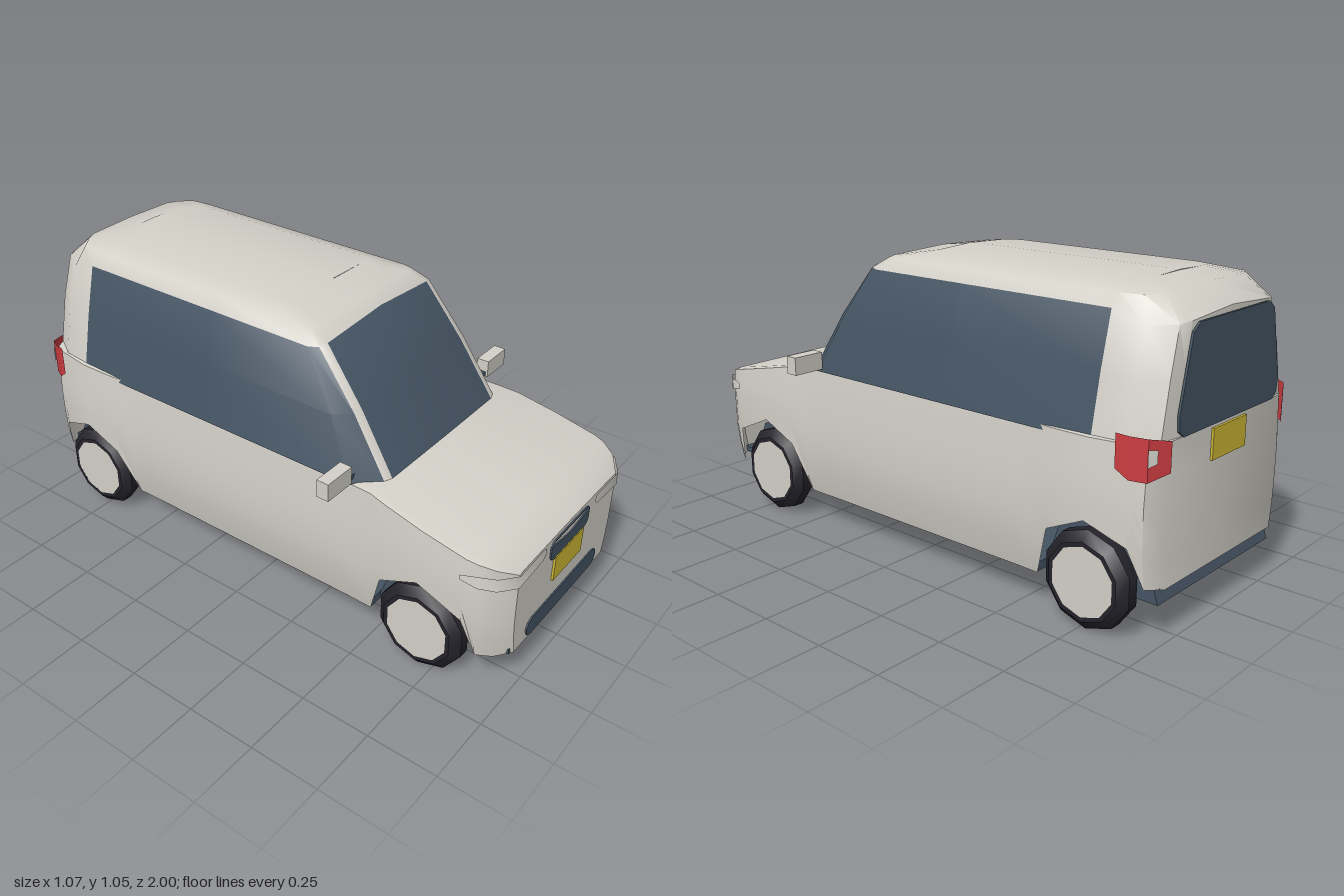
import * as THREE from 'three';
import { toCreasedNormals } from 'three/addons/utils/BufferGeometryUtils.js';

const paint = (name, color, side = THREE.DoubleSide) => {
  const m = new THREE.MeshStandardMaterial({ color, side });
  m.name = name;
  return m;
};

// Surface through rows of points; pick(row, column) chooses the material index
function loft(rows, pick = () => 0, crease = 0.6) {
  const n = rows[0].length, index = [], geo = new THREE.BufferGeometry();
  for (let i = 0; i < rows.length - 1; i++) {
    for (let j = 0; j < n - 1; j++) {
      const a = i * n + j;
      geo.addGroup(index.length, 6, pick(i, j));
      index.push(a, a + 1, a + n, a + 1, a + n + 1, a + n);
    }
  }
  geo.setAttribute('position', new THREE.Float32BufferAttribute(rows.flat(2), 3));
  geo.setIndex(index);
  return toCreasedNormals(geo, crease);
}

// Half outline (front centre to rear centre) completed by its mirror image
const closeRing = half => [...half.map(([x, y, z]) => [-x, y, z]).reverse(), ...half.slice(1)];

// Piecewise linear curve through [key, value] pairs with rising keys
function curve(pts, v) {
  if (v <= pts[0][0]) return pts[0][1];
  for (let i = 1; i < pts.length; i++) {
    const [a, fa] = pts[i - 1], [b, fb] = pts[i];
    if (v <= b) return fa + (fb - fa) * (v - a) / (b - a);
  }
  return pts[pts.length - 1][1];
}

export function createModel() {
  const car = new THREE.Group();
  const body = paint('body paint', 0xd3d0c8);
  const glass = paint('dark glass', 0x455463);
  const tyre = paint('tyre rubber', 0x25232b);
  const red = paint('tail lamp red', 0xcb3c40);
  const yellow = paint('plate yellow', 0xd0b936);
  const lamp = paint('lamp lens', 0xd9d7d0);

  const add = (name, geo, mat, x = 0, y = 0, z = 0, parent = car) => {
    const m = new THREE.Mesh(geo, mat);
    m.name = name;
    m.position.set(x, y, z);
    parent.add(m);
    return m;
  };
  const box = (name, mat, size, pos) => add(name, new THREE.BoxGeometry(...size), mat, ...pos);

  // Lower shell: plan outline as x, z and bottom edge, which rises over the wheels
  const plan = [
    [0, 0.992, 0.15], [0.33, 0.992, 0.15], [0.39, 0.95, 0.15], [0.42, 0.9, 0.15],
    [0.43, 0.86, 0.295], [0.435, 0.7, 0.365], [0.43, 0.56, 0.3], [0.42, 0.5, 0.12],
    [0.418, 0.4, 0.12], [0.418, -0.5, 0.12], [0.42, -0.575, 0.12], [0.43, -0.64, 0.3],
    [0.435, -0.78, 0.365], [0.415, -0.92, 0.31], [0.395, -0.96, 0.18],
    [0.33, -0.992, 0.17], [0, -0.992, 0.17],
  ];
  const belt = z => curve([[-1, 0.62], [0.52, 0.6], [0.9, 0.522], [0.95, 0.505], [0.992, 0.475]], z);
  const tuck = y => curve([[0.12, 0.92], [0.2, 0.97], [0.3, 1], [0.45, 1], [0.62, 0.965]], y);
  const shell = [0, 0.2, 0.4, 0.6, 0.8, 1].map(t => closeRing(plan.map(([x, z, low]) => {
    const y = low + (belt(z) - low) * t;
    return [x * tuck(y), y, z];
  })));
  // Shoulder and bonnet close the top
  for (const [s, up] of [[0.93, 0.005], [0, 0.009]]) {
    shell.push(closeRing(plan.map(([x, z]) => [x * s, belt(z) + up, z])));
  }
  add('lowerBody', loft(shell), body);

  // Cabin: rings from belt to roof; windscreen and side glass are face groups
  const levels = [
    { y: 0.6, w: 0.412, f: 0.52, r: -0.992, g: 0.305, k: 0.1, crown: 0, drop: 0 },
    { y: 0.8, w: 0.37, f: 0.388, r: -0.99, g: 0.292, k: 0.07, crown: 0, drop: 0 },
    { y: 0.978, w: 0.325, f: 0.242, r: -0.984, g: 0.28, k: 0.05, crown: 0.03, drop: 0.04 },
    { y: 1.018, w: 0.29, f: 0.185, r: -0.91, g: 0.25, k: 0.05, crown: 0.012, drop: 0 },
    { y: 1.04, w: 0.22, f: 0.05, r: -0.8, g: 0.17, k: 0.05, crown: 0.008, drop: 0 },
  ];
  const rings = levels.map(({ y, w, f, r, g, k, crown, drop }) => [
    [0, f], [g, f - 0.005], [g + 0.03, f - 0.015], [w, f - k], [w, -0.2],
    [w, Math.max(-0.78, r + 0.08)], [w - 0.01, Math.max(-0.89, r + 0.05)],
    [w - 0.06, r + 0.015], [Math.min(0.25, w - 0.1), r], [0, r],
  ].map(([x, z]) => [x, y + crown * (1 - (x / w) ** 2) - (z < -0.85 ? drop : 0), z]));
  rings.push(rings[4].map(([, , z]) => [0, 1.05, z]));
  const half = rings[0].length - 1;
  const isGlass = (row, col) => {
    const c = col < half ? half - 1 - col : col - half;
    return row < 2 && (c === 0 || (c >= 2 && c <= 4)) ? 1 : 0;
  };
  add('cabin', loft(rings.map(closeRing), isGlass, 0.75), [body, glass]);

  // Thin plates on the front and rear faces
  const plate = (name, mat, pts, z, mirror = true) => {
    const all = mirror ? [...pts, ...pts.map(([x, y]) => [-x, y]).reverse()] : pts;
    const shape = new THREE.Shape(all.map(p => new THREE.Vector2(...p)));
    const geo = new THREE.ExtrudeGeometry(shape, { depth: 0.008, bevelEnabled: false });
    return add(name, geo, mat, 0, 0, z);
  };
  plate('grille', glass, [[0, 0.435], [0.06, 0.442], [0.13, 0.455], [0.13, 0.412], [0.12, 0.397], [0.1, 0.39]], 0.989);
  plate('grilleTrim', glass, [[0.11, 0.469], [0.125, 0.461], [0.11, 0.464]], 0.989);
  plate('lowerIntake', glass, [[0.21, 0.225], [0.233, 0.216], [0.242, 0.2], [0.242, 0.183], [0.233, 0.167], [0.21, 0.158]], 0.989);
  plate('frontPlate', yellow, [[0.097, 0.395], [0.097, 0.3]], 0.992);
  plate('rearWindow', glass, [[0.2, 0.95], [0.235, 0.925], [0.29, 0.69], [0.285, 0.645], [0.26, 0.625]], -0.998);
  plate('rearPlate', yellow, [[0.097, 0.612], [0.097, 0.512]], -1);

  // Lamps wrap round the corners: x, z, lower edge, upper edge
  const wrap = (name, mat, pts, side) => {
    const p = side > 0 ? pts : [...pts].reverse();
    add(name, loft([2, 3].map(e => p.map(q => [q[0] * side, q[e], q[1]]))), mat);
  };

  for (const s of [1, -1]) {
    const label = s > 0 ? 'left' : 'right';
    wrap(label + 'Headlamp', lamp, [
      [0.168, 0.997, 0.455, 0.475], [0.185, 0.997, 0.44, 0.482], [0.335, 0.997, 0.43, 0.478],
      [0.397, 0.956, 0.437, 0.485], [0.428, 0.905, 0.445, 0.49], [0.438, 0.85, 0.46, 0.478],
    ], s);
    wrap(label + 'TailLamp', red, [
      [0.325, -1, 0.535, 0.63], [0.395, -0.968, 0.515, 0.645],
      [0.42, -0.92, 0.52, 0.65], [0.43, -0.88, 0.55, 0.655],
    ], s);
    wrap(label + 'ReverseLamp', lamp, [[0.37, -0.984, 0.57, 0.61], [0.399, -0.97, 0.56, 0.615]], s);

    // Door mirrors
    box(label + 'Mirror', body, [0.12, 0.063, 0.045], [s * 0.473, 0.643, 0.41]);
    box(label + 'MirrorStem', glass, [0.035, 0.014, 0.03], [s * 0.402, 0.624, 0.41]);
  }

  // Wheels and wheel wells
  const tyreGeo = toCreasedNormals(new THREE.LatheGeometry([
    [0.115, -0.046], [0.13, -0.046], [0.161, -0.02], [0.161, 0.02], [0.13, 0.046], [0.115, 0.046],
  ].map(p => new THREE.Vector2(...p)), 10), 0.7).rotateX(Math.PI / 2).rotateY(Math.PI / 2);
  const hubGeo = new THREE.CylinderGeometry(0.118, 0.118, 0.088, 10).rotateX(Math.PI / 2).rotateY(Math.PI / 2);
  const arch = [[0.21, 0.12], [0.15, 0.295], [0, 0.36], [-0.15, 0.295], [-0.21, 0.12]];
  const wellSheet = loft([0.33, -0.33].map(x => arch.map(([z, y]) => [x, y, z])));
  const wellCap = new THREE.ShapeGeometry(new THREE.Shape(arch.map(([z, y]) => new THREE.Vector2(-z, y))))
    .rotateY(Math.PI / 2);
  for (const [end, z] of [['front', 0.7], ['rear', -0.77]]) {
    add(end + 'WheelWell', wellSheet, glass, 0, 0, z);
    for (const s of [1, -1]) {
      add(end + 'WellWall', wellCap, glass, s * 0.33, 0, z);
      const wheel = new THREE.Group();
      wheel.name = end + (s > 0 ? 'Left' : 'Right') + 'Wheel';
      wheel.position.set(s * 0.376, 0.161, z);
      add('tyre', tyreGeo, tyre, 0, 0, 0, wheel);
      add('hub', hubGeo, body, 0, 0, 0, wheel);
      car.add(wheel);
    }
  }

  // Underside
  box('floor', glass, [0.77, 0.03, 1.07], [0, 0.136, -0.036]);
  box('frontUndertray', glass, [0.66, 0.02, 0.09], [0, 0.162, 0.94]);
  box('rearUndertray', glass, [0.66, 0.02, 0.04], [0, 0.182, -0.965]);
  return car;
}
